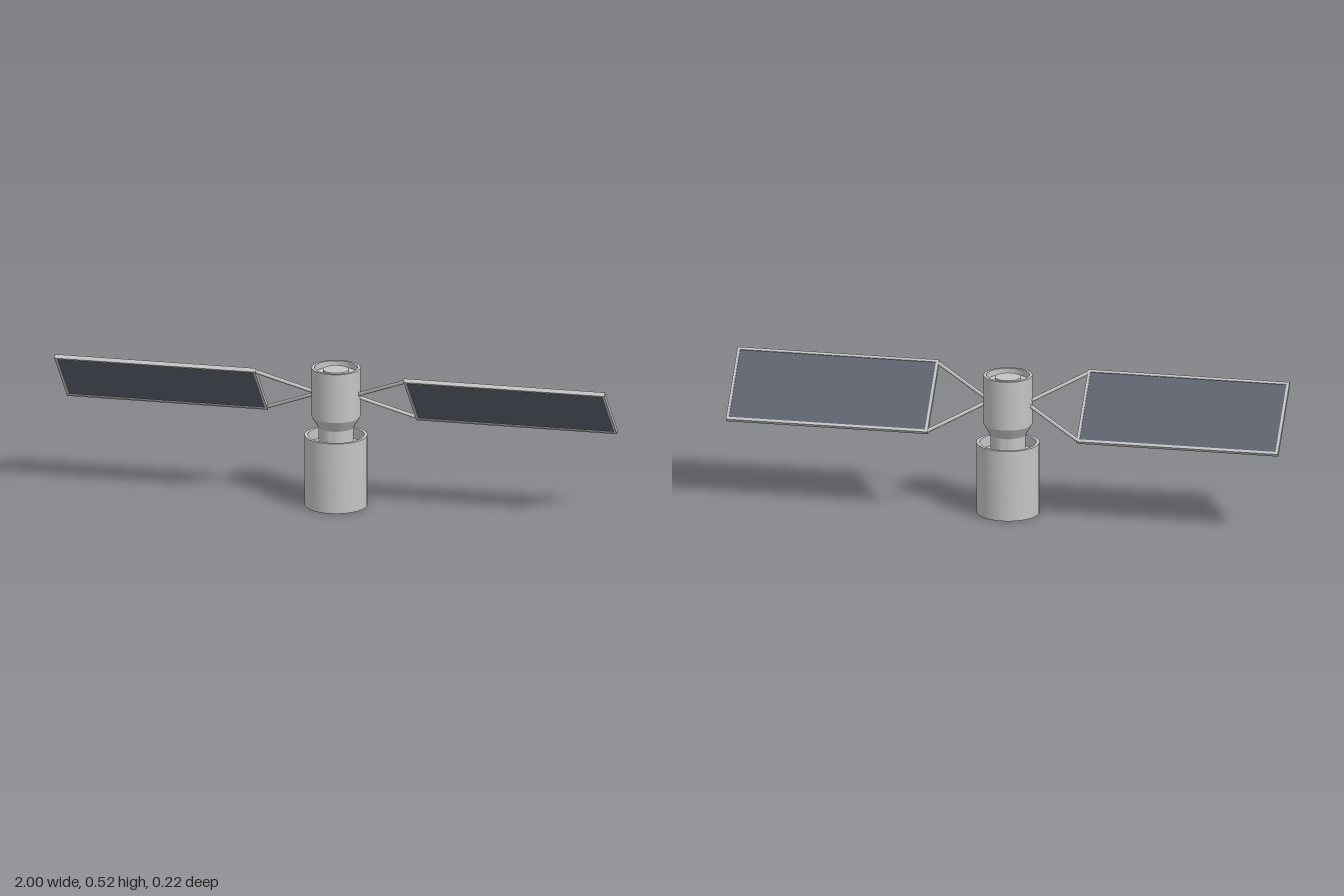
import * as THREE from 'three';
import { toCreasedNormals } from 'three/addons/utils/BufferGeometryUtils.js';

const metal = new THREE.MeshStandardMaterial({ color: 0xc4c4c4 });
metal.name = 'light grey metal';
const cells = new THREE.MeshStandardMaterial({ color: 0x5a5f6c });
cells.name = 'slate solar cells';

function add(parent, name, geometry, material, x = 0, y = 0, z = 0) {
  const mesh = new THREE.Mesh(geometry, material);
  mesh.name = name;
  mesh.position.set(x, y, z);
  parent.add(mesh);
  return mesh;
}

function lathe(points) {
  const profile = points.map(([r, y]) => new THREE.Vector2(r, y));
  return toCreasedNormals(new THREE.LatheGeometry(profile, 40), 0.45);
}

// Round bar between two points
function bar(parent, name, a, b, radius) {
  const dir = b.clone().sub(a);
  const mesh = add(parent, name, new THREE.CylinderGeometry(radius, radius, dir.length(), 8), metal);
  mesh.position.copy(a).add(b).multiplyScalar(0.5);
  mesh.quaternion.setFromUnitVectors(new THREE.Vector3(0, 1, 0), dir.normalize());
}

// One solar wing, lying flat in its own plane; side is +1 or -1
function createWing(side) {
  const wing = new THREE.Group();
  wing.name = side > 0 ? 'leftWing' : 'rightWing';
  const inner = 0.27, outer = 1, half = 0.145, rim = 0.01, thick = 0.016;
  const length = outer - inner, middle = side * (inner + outer) / 2;

  // Frame
  for (const s of [-1, 1]) {
    add(wing, 'frameLongBar', new THREE.BoxGeometry(length, thick, rim), metal,
      middle, 0, s * (half - rim / 2));
    add(wing, 'frameEndBar', new THREE.BoxGeometry(rim, thick, 2 * (half - rim)), metal,
      middle + s * (length - rim) / 2, 0, 0);
  }

  // Cell sheet, slightly recessed in the frame
  add(wing, 'solarCells', new THREE.BoxGeometry(length - 2 * rim, 0.009, 2 * (half - rim)), cells, middle);

  // V-shaped struts to the body
  for (const s of [-1, 1]) {
    bar(wing, 'strut', new THREE.Vector3(side * 0.075, 0, s * 0.006),
      new THREE.Vector3(side * (inner + 0.004), 0, s * (half - 0.008)), 0.007);
  }
  return wing;
}

export function createModel() {
  const model = new THREE.Group();
  model.name = 'satellite';

  // Lower drum, hollowed at both ends
  add(model, 'lowerDrum', lathe([
    [0, 0.03], [0.1, 0.03], [0.1, 0], [0.112, 0],
    [0.112, 0.26], [0.1, 0.26], [0.1, 0.22], [0.06, 0.22],
  ]), metal);

  // Ring nozzle under the drum
  add(model, 'nozzleRing', lathe([
    [0.063, 0.03], [0.063, 0.006], [0.077, 0.006], [0.077, 0.031],
  ]), metal);

  // Neck, flare and upper drum with a rimmed top
  add(model, 'upperDrum', lathe([
    [0.063, 0.215], [0.063, 0.29], [0.087, 0.33], [0.087, 0.51],
    [0.076, 0.51], [0.076, 0.488], [0, 0.488],
  ]), metal);
  add(model, 'topCap', lathe([[0.046, 0.485], [0.046, 0.503], [0, 0.503]]), metal);

  // Solar wings tilted together, front edge high
  const wings = new THREE.Group();
  wings.name = 'solarWings';
  wings.position.y = 0.41;
  wings.rotation.x = -Math.PI / 4;
  wings.add(createWing(1), createWing(-1));
  model.add(wings);
  return model;
}
